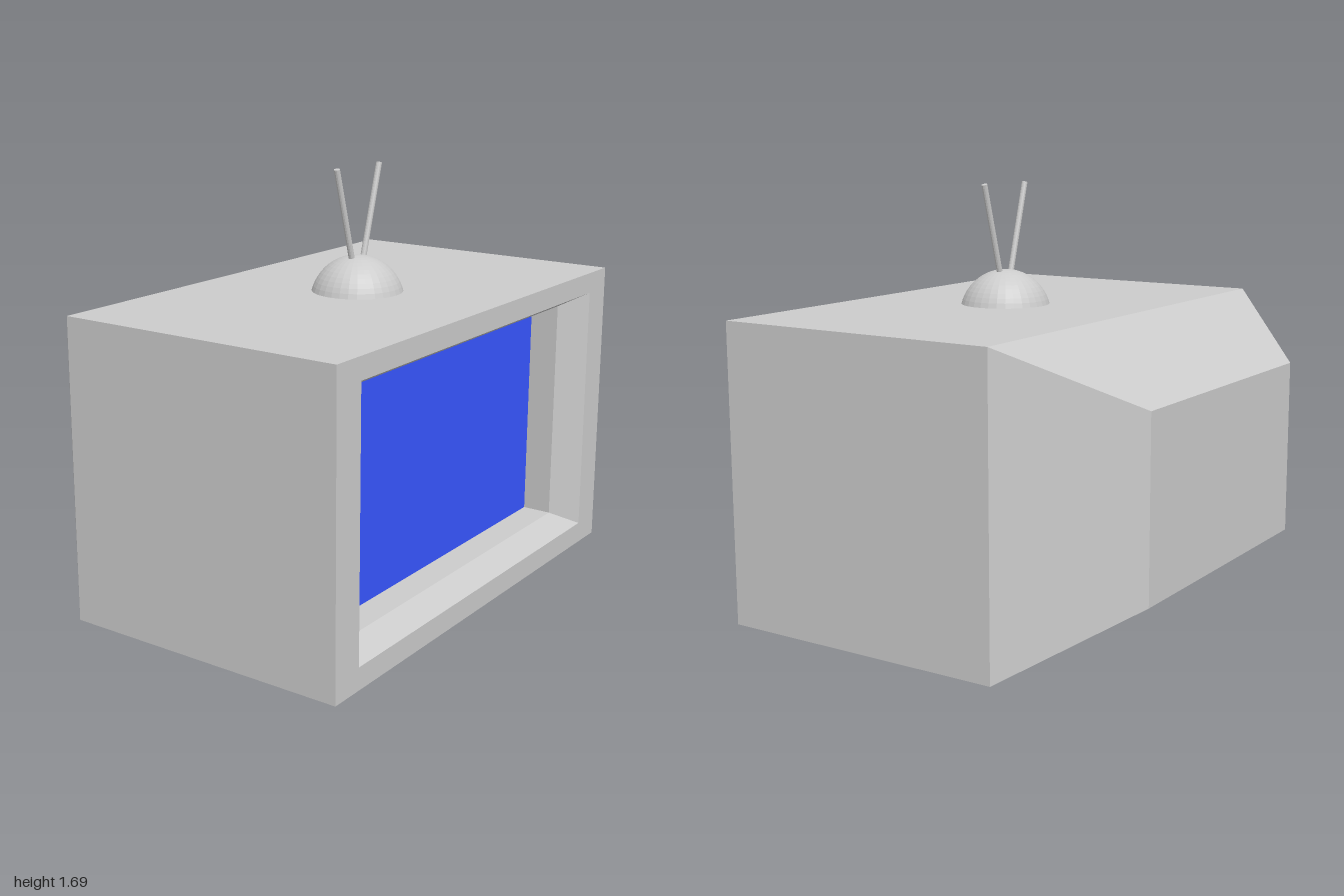
import * as THREE from 'three';

const grey = new THREE.MeshStandardMaterial({ color: 0xcccccc, flatShading: true });
const blue = new THREE.MeshStandardMaterial({ color: 0x3756ff });

// Rectangular cross-section: half width, bottom, top, depth position
const ring = (w, y0, y1, z) => [[-w, y0, z], [w, y0, z], [w, y1, z], [-w, y1, z]];

// Skins consecutive rectangles with flat walls and closes the first one
function loftRects(rings) {
  const pos = [];
  const quad = (a, b, c, d) => [a, b, c, a, c, d].forEach((p) => pos.push(...p));
  const [a, b, c, d] = rings[0];
  quad(b, a, d, c);
  for (let i = 0; i < rings.length - 1; i++) {
    for (let k = 0; k < 4; k++) {
      const n = (k + 1) % 4;
      quad(rings[i][k], rings[i][n], rings[i + 1][n], rings[i + 1][k]);
    }
  }
  const geo = new THREE.BufferGeometry();
  geo.setAttribute('position', new THREE.Float32BufferAttribute(pos, 3));
  geo.computeVertexNormals();
  return geo;
}

export function createModel() {
  const model = new THREE.Group();
  const add = (name, geo, mat) => {
    const mesh = new THREE.Mesh(geo, mat);
    mesh.name = name;
    model.add(mesh);
    return mesh;
  };

  // Cabinet: tapered back, straight box, front frame, bevel and recess walls
  add('cabinet', loftRects([
    ring(0.6, 0.245, 0.957, -0.803),
    ring(1, 0, 1.2, -0.395),
    ring(1, 0, 1.2, 0.803),
    ring(0.858, 0.088, 1.115, 0.803),
    ring(0.767, 0.142, 1.061, 0.703),
    ring(0.767, 0.142, 1.061, 0.583),
  ]), grey);

  // Screen at the bottom of the recess
  add('screen', new THREE.PlaneGeometry(1.534, 0.919), blue).position.set(0, 0.6015, 0.583);

  // Antenna base: cap of a sphere sunk into the cabinet top
  const capAngle = Math.acos(0.046 / 0.187);
  add('antennaBase', new THREE.SphereGeometry(0.187, 32, 12, 0, Math.PI * 2, 0, capAngle), grey)
    .position.set(0, 1.154, 0.207);

  // Pair of antenna rods spreading outwards
  for (const side of [-1, 1]) {
    const foot = new THREE.Vector3(side * 0.02, 1.26, 0.207);
    const tip = new THREE.Vector3(side * 0.146, 1.69, 0.207);
    const dir = tip.clone().sub(foot);
    const rod = add(side > 0 ? 'leftAntenna' : 'rightAntenna',
      new THREE.CylinderGeometry(0.012, 0.012, dir.length(), 12), grey);
    rod.position.copy(foot).add(tip).multiplyScalar(0.5);
    rod.quaternion.setFromUnitVectors(new THREE.Vector3(0, 1, 0), dir.normalize());
  }
  return model;
}
